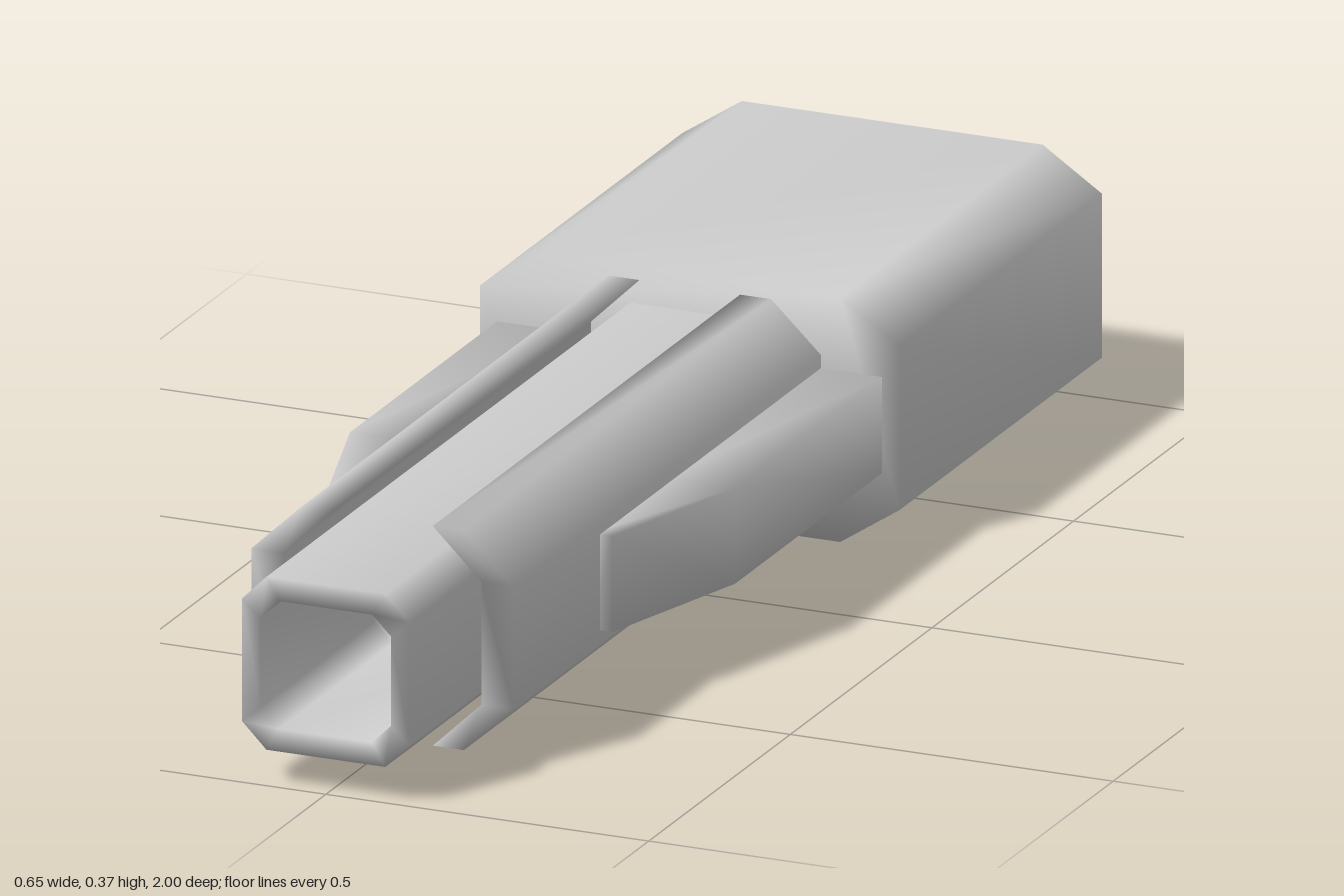
import * as THREE from 'three';

const material = new THREE.MeshStandardMaterial({ color: 0xcccccc, side: THREE.DoubleSide });

// Joins equal-length rings (counter-clockwise seen from +z) with shared, smooth vertices.
function loft(name, rings, capStart, capEnd) {
  const n = rings[0].length;
  const index = [];
  for (let r = 0; r < rings.length - 1; r++) {
    for (let i = 0; i < n; i++) {
      const a = r * n + i, b = r * n + (i + 1) % n;
      index.push(a, b, b + n, a, b + n, a + n);
    }
  }
  const cap = (r, flip) => {
    const outline = rings[r].map(([x, y]) => new THREE.Vector2(x, y));
    for (const [a, b, c] of THREE.ShapeUtils.triangulateShape(outline, [])) {
      const o = r * n;
      index.push(o + a, o + (flip ? c : b), o + (flip ? b : c));
    }
  };
  if (capStart) cap(0, true);
  if (capEnd) cap(rings.length - 1, false);
  const geometry = new THREE.BufferGeometry();
  geometry.setAttribute('position', new THREE.Float32BufferAttribute(rings.flat(2), 3));
  geometry.setIndex(index);
  geometry.computeVertexNormals();
  const mesh = new THREE.Mesh(geometry, material);
  mesh.name = name;
  return mesh;
}

const CENTER_Y = 0.184;

// Rectangle with cut corners: half sizes w, h and corner cuts cx, cy.
function octagon(w, h, cx, cy, z) {
  return [
    [w, -h + cy], [w, h - cy], [w - cx, h], [-w + cx, h],
    [-w, h - cy], [-w, -h + cy], [-w + cx, -h], [w - cx, -h],
  ].map(([x, y]) => [x, y + CENTER_Y, z]);
}

// Places an outline at depth z, mirrored to the chosen side with its winding kept.
function sided(outline, side, z) {
  const ring = outline.map(([x, y]) => [x * side, y, z]);
  return side < 0 ? ring.reverse() : ring;
}

const rect = (x0, x1) => [[x0, 0.113], [x1, 0.113], [x1, 0.257], [x0, 0.257]];

export function createModel() {
  const model = new THREE.Group();
  model.name = 'model';

  // Large rear sleeve, open at the back and closed at the front
  model.add(loft('rearSleeve', [
    octagon(0.325, 0.184, 0.092, 0.061, -1),
    octagon(0.325, 0.184, 0.092, 0.061, -0.285),
  ], false, true));

  // Central barrel with a thick rim and a deep bore
  model.add(loft('barrel', [
    octagon(0.13, 0.13, 0.038, 0.038, -0.285),
    octagon(0.13, 0.13, 0.038, 0.038, 1),
    octagon(0.101, 0.096, 0.029, 0.029, 1),
    octagon(0.101, 0.096, 0.029, 0.029, 0.6),
  ], false, true));

  const plate = [
    [0.078, 0.02], [0.126, 0.02], [0.203, 0.092], [0.203, 0.277],
    [0.126, 0.35], [0.078, 0.35], [0.153, 0.277], [0.153, 0.092],
  ];
  for (const side of [1, -1]) {
    const prefix = side > 0 ? 'left' : 'right';
    // Bent guard plate wrapping the barrel
    model.add(loft(prefix + 'GuardPlate', [
      sided(plate, side, -0.285), sided(plate, side, 0.8),
    ], true, true));
    // Side fin tapering toward the front
    model.add(loft(prefix + 'Fin', [
      sided(rect(0.19, 0.298), side, -0.285),
      sided(rect(0.19, 0.298), side, 0.235),
      sided(rect(0.19, 0.222), side, 0.495),
    ], true, true));
  }
  return model;
}
